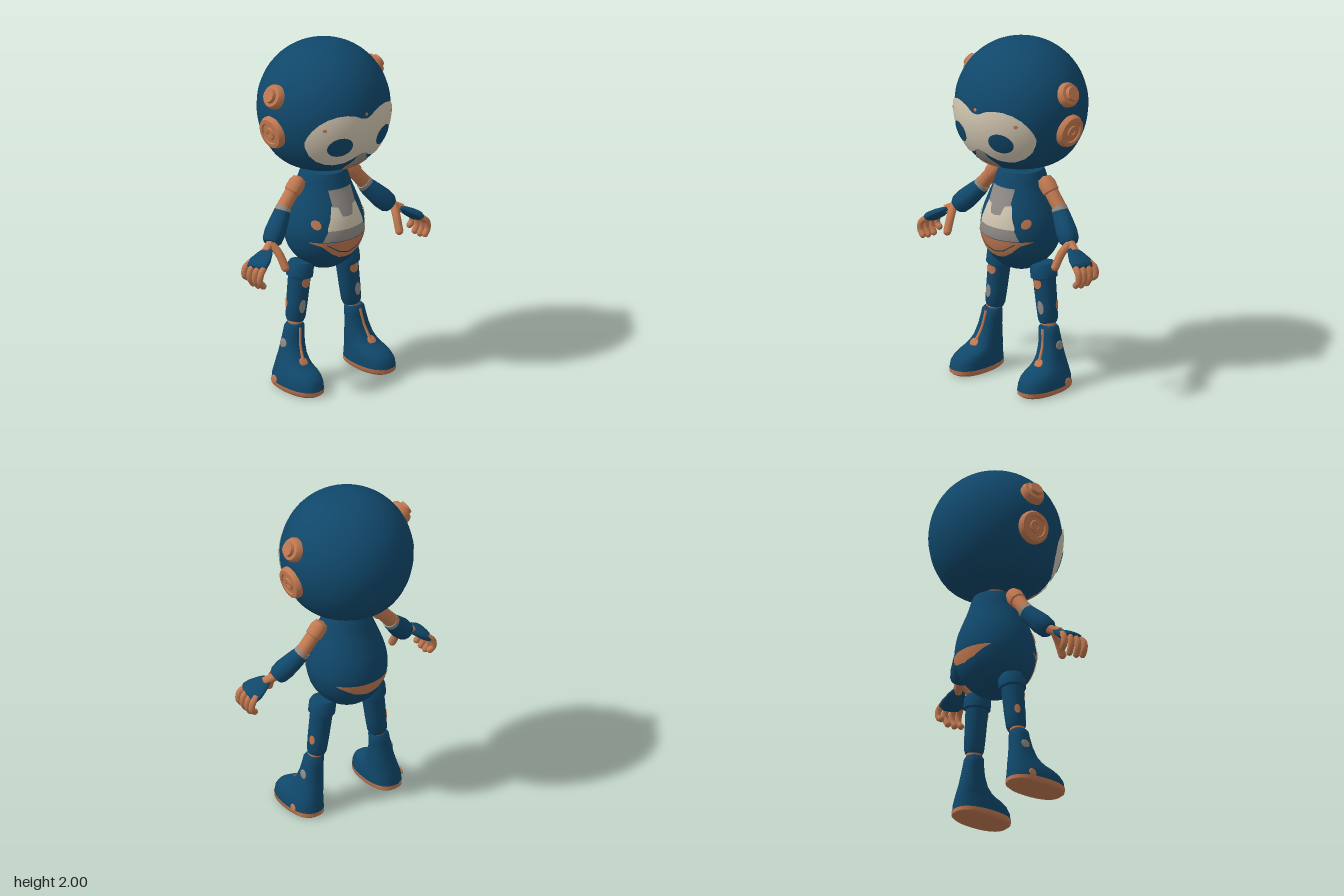
import * as THREE from 'three';
import { toCreasedNormals, mergeVertices } from 'three/addons/utils/BufferGeometryUtils.js';

const mat = (name, color) => {
  const m = new THREE.MeshStandardMaterial({ color, side: THREE.DoubleSide });
  m.name = name;
  return m;
};
const V = (x, y, z) => new THREE.Vector3(x, y, z);

export function createModel() {
  const blue = mat('deep blue', 0x10476a), copper = mat('copper', 0xc07850);
  const cream = mat('cream', 0xd0c5b0), grey = mat('warm grey', 0x8f8a86);
  const model = new THREE.Group();

  const add = (name, geo, material, parent = model) => {
    const mesh = new THREE.Mesh(geo, material);
    mesh.name = name;
    parent.add(mesh);
    return mesh;
  };
  // piecewise linear lookup in a list of [input, output]
  const look = (table, v) => {
    for (let i = 1; i < table.length; i++) {
      const [a, fa] = table[i - 1], [b, fb] = table[i];
      if (v <= b) return fa + (fb - fa) * Math.max(0, (v - a) / (b - a));
    }
    return table[table.length - 1][1];
  };
  // smooth body of revolution; profile is [radius, y] upwards
  const smoothProfile = (pts, n) => new THREE.SplineCurve(pts.map(p => new THREE.Vector2(...p))).getPoints(n)
    .map(p => new THREE.Vector2(Math.max(0, p.x), p.y));
  const turned = pts => toCreasedNormals(new THREE.LatheGeometry(pts, 40), 0.6);
  // plate hugging a body of revolution, between two height curves
  const patch = (name, profile, x0, x1, bot, top, off, material, parent = model) => {
    const radii = profile.map(p => [p.y, p.x]);
    const f = t => (typeof t === 'function' ? t : x => (Array.isArray(t) ? look(t, Math.abs(x)) : t));
    const fb = f(bot), ft = f(top), n = 48, m = 14, pos = [], idx = [];
    for (let i = 0; i <= n; i++) {
      const x = (x0 + x1) / 2 - (x1 - x0) / 2 * Math.cos(Math.PI * i / n);
      for (let j = 0; j <= m; j++) {
        const y = fb(x) + (ft(x) - fb(x)) * j / m, r = look(radii, y) + off;
        pos.push(x, y, Math.sqrt(Math.max(0, r * r - x * x)));
        if (i < n && j < m) {
          const a = i * (m + 1) + j, b = a + m + 1;
          idx.push(a, b, a + 1, b, b + 1, a + 1);
        }
      }
    }
    const g = new THREE.BufferGeometry();
    g.setAttribute('position', new THREE.Float32BufferAttribute(pos, 3));
    g.setIndex(idx);
    g.computeVertexNormals();
    return add(name, g, material, parent);
  };
  const oval = (name, profile, cx, cy, rx, ry, off, material, parent) => {
    const h = x => ry * Math.sqrt(Math.max(0, 1 - ((x - cx) / rx) ** 2));
    return patch(name, profile, cx - rx, cx + rx, x => cy - h(x), x => cy + h(x), off, material, parent);
  };
  // turned part between two points; profile is [radius, fraction]
  const limb = (name, from, to, profile, material, sx = 1, sz = 1) => {
    const d = to.clone().sub(from), len = d.length(), group = new THREE.Group();
    const pts = profile.map(([r, t]) => new THREE.Vector2(r, t * len));
    group.name = name;
    group.position.copy(from);
    group.quaternion.setFromUnitVectors(V(0, 1, 0), d.normalize());
    add(name, turned(pts), material, group).scale.set(sx, 1, sz);
    model.add(group);
    return { group, pts, len };
  };
  // stacked rounded sections; rows are [y, centre x, half width, back z, front z]
  const loft = (rows, s) => {
    const n = 40, pos = [], idx = [], soft = v => Math.sign(v) * Math.abs(v) ** 0.85;
    rows.forEach(([y, cx, rx, zb, zf], k) => {
      for (let i = 0; i < n; i++) {
        const a = i / n * Math.PI * 2;
        pos.push(s * cx + rx * soft(Math.sin(a)), y, (zb + zf) / 2 + (zf - zb) / 2 * soft(Math.cos(a)));
        if (k) {
          const p = (k - 1) * n + i, q = (k - 1) * n + (i + 1) % n;
          idx.push(p, q, p + n, q, q + n, p + n);
        }
      }
    });
    const g = new THREE.BufferGeometry();
    g.setAttribute('position', new THREE.Float32BufferAttribute(pos, 3));
    g.setIndex(idx);
    return toCreasedNormals(mergeVertices(g), 0.8);
  };
  const tube = (name, pts, r, material) => {
    add(name, new THREE.TubeGeometry(new THREE.CatmullRomCurve3(pts), 16, r, 10), material);
    add(name + 'Tip', new THREE.SphereGeometry(r, 12, 8), material).position.copy(pts[pts.length - 1]);
  };
  const dot = (name, p, normal, r, material) => {
    const d = add(name, new THREE.SphereGeometry(r, 20, 10), material);
    d.position.copy(p);
    d.scale.z = 0.2;
    d.quaternion.setFromUnitVectors(V(0, 0, 1), normal.normalize());
  };

  // head
  const head = smoothProfile([[0, 1.283], [0.13, 1.285], [0.215, 1.308], [0.28, 1.355], [0.33, 1.43], [0.362, 1.52],
    [0.374, 1.62], [0.362, 1.72], [0.324, 1.815], [0.265, 1.893], [0.187, 1.953], [0.097, 1.989], [0, 2]], 72);
  add('head', turned(head), blue);

  // face
  const maskTop = [[0, 1.662], [0.03, 1.667], [0.07, 1.69], [0.12, 1.7], [0.17, 1.699], [0.22, 1.683], [0.26, 1.655],
    [0.29, 1.615], [0.305, 1.575], [0.31, 1.54]];
  const maskBottom = [[0, 1.44], [0.03, 1.43], [0.06, 1.41], [0.1, 1.39], [0.15, 1.382], [0.19, 1.387], [0.24, 1.412],
    [0.28, 1.455], [0.303, 1.505], [0.31, 1.54]];
  patch('faceMask', head, -0.31, 0.31, maskBottom, maskTop, 0.008, cream);
  patch('nose', head, -0.075, 0.075, 1.36, [[0, 1.44], [0.03, 1.437], [0.045, 1.4], [0.075, 1.365]], 0.011, grey);
  patch('mouth', head, -0.075, 0.075, [[0, 1.305], [0.05, 1.31], [0.075, 1.335]], [[0, 1.352], [0.075, 1.358]], 0.006, copper);
  patch('mouthInner', head, -0.065, 0.065, [[0, 1.312], [0.045, 1.316], [0.065, 1.33]], 1.338, 0.009, grey);
  oval('browStud', head, 0, 1.688, 0.01, 0.01, 0.011, copper);

  // neck and torso
  limb('neck', V(0, 1.22, 0), V(0, 1.3, 0), [[0.058, 0], [0.058, 1]], copper);
  const torso = smoothProfile([[0, 0.645], [0.06, 0.655], [0.12, 0.687], [0.17, 0.735], [0.205, 0.79], [0.225, 0.86],
    [0.228, 0.92], [0.214, 1], [0.185, 1.08], [0.157, 1.15], [0.138, 1.21], [0.125, 1.245]], 60);
  add('torso', turned([...torso, new THREE.Vector2(0, 1.25)]), blue);
  patch('chestCream', torso, -0.125, 0.125, 0.942, [[0, 1.08], [0.085, 1.08], [0.105, 1.01], [0.125, 0.96]], 0.005, cream);
  patch('chestGreyTop', torso, -0.08, 0.08, [[0, 1.015], [0.035, 1.02], [0.05, 1.07], [0.08, 1.075]], 1.165, 0.008, grey);
  patch('chestGreyBase', torso, -0.15, 0.15, 0.88, [[0, 0.945], [0.125, 0.945], [0.15, 0.885]], 0.006, grey);
  const bellyBottom = [[0, 0.765], [0.05, 0.772], [0.1, 0.803], [0.15, 0.85], [0.2, 0.872]];
  patch('bellyPlate', torso, -0.2, 0.2, bellyBottom, 0.876, 0.004, copper);
  patch('bellyGroove', torso, -0.13, 0.13, [[0, 0.797], [0.06, 0.81], [0.13, 0.86]], [[0, 0.804], [0.06, 0.818], [0.13, 0.864]], 0.006, blue);
  patch('backPlate', torso, -0.17, 0.17, [[0, 0.8], [0.08, 0.815], [0.17, 0.868]], 0.874, 0.004, copper).rotation.y = Math.PI;

  for (const s of [1, -1]) {
    // eyes, studs and ears
    oval('eye', head, s * 0.152, 1.51, 0.067, 0.06, 0.012, blue);
    oval('cheekStud', head, s * 0.238, 1.622, 0.01, 0.01, 0.012, copper);
    limb('earDisc', V(s * 0.335, 1.555, 0), V(s * 0.393, 1.547, 0),
      [[0.095, 0], [0.095, 0.65], [0.085, 0.95], [0.062, 1], [0.058, 0.86], [0.038, 0.86], [0.034, 1], [0.016, 1], [0.014, 0.9], [0, 0.9]], copper);
    limb('earKnob', V(s * 0.315, 1.745, 0), V(s * 0.4, 1.783, 0),
      [[0.07, 0], [0.07, 0.55], [0.06, 0.75], [0.042, 0.78], [0.038, 1], [0, 1]], copper);
    oval('torsoStud', torso, s * 0.17, 0.98, 0.019, 0.027, 0.005, copper);

    // arm
    limb('upperArm', V(s * 0.31, 1.05, 0.0), V(s * 0.16, 1.225, -0.005),
      [[0, 0], [0.04, 0], [0.04, 0.55], [0.047, 0.58], [0.049, 0.8], [0.038, 0.94], [0, 1]], copper);
    limb('elbowCuff', V(s * 0.318, 1.035, 0.01), V(s * 0.287, 1.072, 0), [[0, 0], [0.045, 0], [0.045, 1], [0, 1]], grey);
    limb('forearm', V(s * 0.428, 0.915, 0.062), V(s * 0.3, 1.052, 0.003),
      [[0, 0], [0.045, 0], [0.056, 0.1], [0.06, 0.35], [0.054, 0.7], [0.047, 1], [0, 1]], blue);
    limb('wrist', V(s * 0.49, 0.885, 0.09), V(s * 0.41, 0.93, 0.055), [[0, 0], [0.026, 0], [0.026, 1], [0, 1]], copper);

    // hand
    limb('palm', V(s * 0.59, 0.82, 0.113), V(s * 0.465, 0.9, 0.087),
      [[0, 0], [0.045, 0.03], [0.057, 0.15], [0.054, 0.4], [0.038, 0.75], [0.024, 0.96], [0, 1]], blue, 0.5, 1.45);
    for (const [i, z] of [0.042, 0.088, 0.134, 0.178].entries()) {
      const drop = [0.02, 0, 0, 0.01][i];
      tube('finger', [V(s * 0.565, 0.838, z * 0.85 + 0.016), V(s * 0.598, 0.805, z), V(s * 0.602, 0.762, z),
        V(s * 0.582, 0.725 + drop, z + 0.003)], 0.0185, copper);
    }
    tube('thumb', [V(s * 0.44, 0.92, 0.08), V(s * 0.422, 0.87, 0.125), V(s * 0.41, 0.795, 0.165)], 0.023, copper);

    // thigh with its collar and spots
    const { group, pts, len } = limb('thigh', V(s * 0.203, 0.37, -0.002), V(s * 0.158, 0.725, -0.005),
      [[0, 0], [0.048, 0], [0.056, 0.06], [0.06, 0.3], [0.064, 0.72], [0.076, 0.74], [0.076, 0.9], [0.062, 0.97], [0, 1]], blue);
    oval('kneeSpot', pts, 0, len * 0.66, 0.03, 0.03, 0.004, copper, group);
    oval('shinSpot', pts, s * 0.008, len * 0.27, 0.02, 0.04, 0.004, grey, group);
    oval('thighSideSpot', pts, 0, len * 0.28, 0.018, 0.028, 0.004, copper, group).rotation.y = s * 1.95;
    limb('ankleJoint', V(s * 0.213, 0.33, 0.004), V(s * 0.203, 0.4, 0),
      [[0, 0], [0.036, 0], [0.036, 0.4], [0.043, 0.45], [0.043, 0.75], [0.04, 1], [0, 1]], copper);

    // boot
    add('sole', loft([[0, 0.258, 0, 0.09, 0.09], [0, 0.258, 0.09, -0.08, 0.255], [0.012, 0.258, 0.103, -0.094, 0.27],
      [0.035, 0.258, 0.104, -0.094, 0.272]], s), copper);
    add('boot', loft([[0.034, 0.258, 0.102, -0.092, 0.27], [0.07, 0.257, 0.1, -0.089, 0.264], [0.1, 0.253, 0.093, -0.085, 0.244],
      [0.12, 0.25, 0.087, -0.081, 0.212], [0.135, 0.247, 0.082, -0.078, 0.17], [0.155, 0.243, 0.077, -0.074, 0.135],
      [0.19, 0.237, 0.069, -0.067, 0.102], [0.25, 0.229, 0.062, -0.057, 0.076], [0.31, 0.22, 0.058, -0.049, 0.063],
      [0.345, 0.215, 0.056, -0.045, 0.058], [0.358, 0.214, 0.047, -0.037, 0.049], [0.358, 0.214, 0, 0.006, 0.006]], s), blue);
    tube('bootStripe', [V(s * 0.215, 0.345, 0.056), V(s * 0.229, 0.25, 0.073), V(s * 0.24, 0.175, 0.112)], 0.009, copper);
    dot('bootStud', V(s * 0.245, 0.165, 0.124), V(0, 0.65, 0.75), 0.028, copper);
    dot('bootSideSpot', V(s * 0.29, 0.25, 0), V(s, 0.12, 0), 0.028, grey);
    dot('heelSpot', V(s * 0.357, 0.05, 0), V(s, 0.1, 0), 0.025, copper);
  }
  return model;
}
